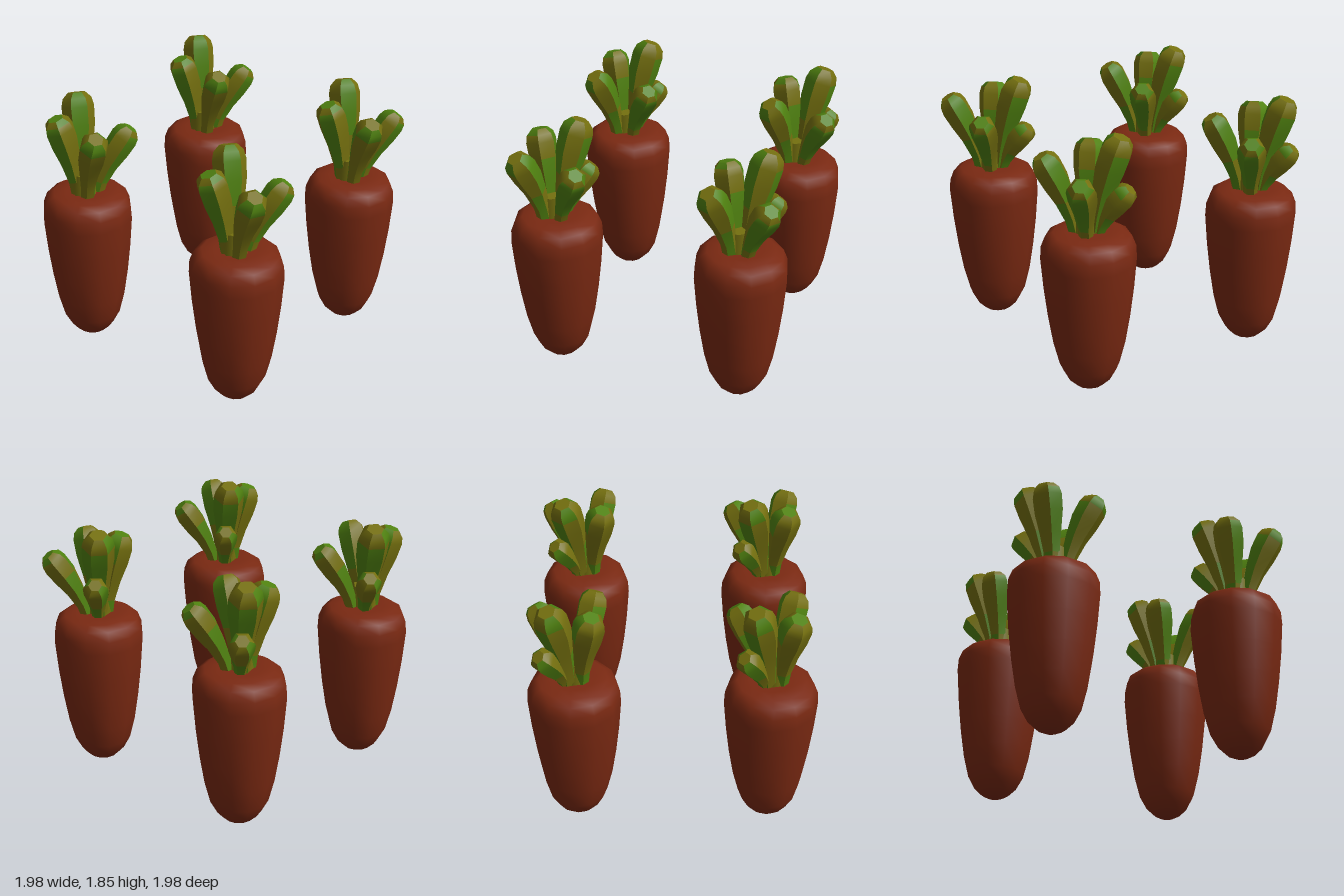
import * as THREE from 'three';

const make = (name, color) => {
  const m = new THREE.MeshStandardMaterial({ color });
  m.name = name;
  return m;
};

// A curved stalk: each long side is smooth along its length, with creases between sides.
function stalkGeometry(path, scale, seed) {
  const sides = 6;
  // [position along the path, radius]
  const rings = [[0, 0.05], [0.25, 0.055], [0.5, 0.076], [0.72, 0.1], [0.88, 0.104], [0.95, 0.092], [1, 0.055]];
  const pos = [], index = [[], []];
  const corner = (ring, s) => {
    const [t, r] = rings[ring];
    const p = path.getPoint(t), dir = path.getTangent(t);
    const out = path.getPoint(1).sub(path.getPoint(0)).setY(0).normalize();
    const side = new THREE.Vector3().crossVectors(dir, out).normalize();
    const face = new THREE.Vector3().crossVectors(side, dir).normalize();
    const a = ((s + 0.5) / sides) * Math.PI * 2;
    return p.addScaledVector(face, Math.cos(a) * r * scale)
      .addScaledVector(side, -Math.sin(a) * r * scale);
  };
  for (let s = 0; s < sides; s++) {
    const start = pos.length / 3;
    rings.forEach((_, k) => pos.push(...corner(k, s).toArray(), ...corner(k, s + 1).toArray()));
    for (let k = 0; k < rings.length - 1; k++) {
      const a = start + k * 2, b = a + 1, c = a + 2, d = a + 3;
      // patches of the two greens
      const patch = (s * 2 + Math.floor((k + seed) / 2) + seed) % 5 < 2 ? 1 : 0;
      index[patch].push(a, c, b, b, c, d);
    }
  }
  // flat cap
  const cap = pos.length / 3;
  for (let s = 0; s < sides; s++) pos.push(...corner(rings.length - 1, s).toArray());
  for (let s = 1; s < sides - 1; s++) index[seed % 2].push(cap, cap + s + 1, cap + s);

  const g = new THREE.BufferGeometry();
  g.setAttribute('position', new THREE.Float32BufferAttribute(pos, 3));
  // keep every face turned outward
  const v = i => new THREE.Vector3().fromArray(pos, i * 3);
  const [i0, i1, i2] = [cap, cap + 2, cap + 1].map(v);
  const normal = i1.sub(i0).cross(i2.sub(i0));
  if (normal.dot(path.getTangent(1)) < 0) index.forEach(list => list.reverse());
  g.setIndex([...index[0], ...index[1]]);
  g.addGroup(0, index[0].length, 0);
  g.addGroup(index[0].length, index[1].length, 1);
  g.computeVertexNormals();
  return g;
}

export function createModel() {
  const model = new THREE.Group();
  const rootColor = make('rootOrangeBrown', 0x7a2912);
  const olive = make('leafOlive', 0x75700f);
  const green = make('leafGreen', 0x508210);

  const carrot = new THREE.Group();
  carrot.name = 'carrot';

  // Root body
  const profile = [
    [0, 0], [0.05, 0.005], [0.1, 0.03], [0.155, 0.085], [0.205, 0.18], [0.245, 0.34],
    [0.277, 0.54], [0.302, 0.75], [0.32, 0.97], [0.315, 1.06], [0.288, 1.13], [0.235, 1.165], [0.15, 1.17], [0, 1.17],
  ].map(([x, y]) => new THREE.Vector2(x, y));
  const root = new THREE.Mesh(new THREE.LatheGeometry(profile, 12), rootColor);
  root.name = 'root';
  carrot.add(root);

  // Crown joining the stalks
  const crown = new THREE.Mesh(new THREE.CylinderGeometry(0.085, 0.095, 0.2, 7), olive);
  crown.name = 'crown';
  crown.position.set(0, 1.22, 0.02);
  carrot.add(crown);

  // Stalks: tip position and thickness
  const stalks = [
    ['tallStalk', [-0.175, 1.83, -0.13], 1.1],
    ['frontStalk', [-0.115, 1.745, 0.15], 1.05],
    ['rightStalk', [0.26, 1.7, 0.155], 1.0],
    ['backStalk', [0.21, 1.62, -0.255], 0.95],
    ['shortStalk', [-0.2, 1.49, -0.2], 0.85],
  ];
  stalks.forEach(([name, [x, y, z], scale], i) => {
    const path = new THREE.QuadraticBezierCurve3(
      new THREE.Vector3(x * 0.22, 1.12, z * 0.25 + 0.015),
      new THREE.Vector3(x * 0.35, 1.12 + (y - 1.12) * 0.45, z * 0.38 + 0.01),
      new THREE.Vector3(x, y, z),
    );
    const stalk = new THREE.Mesh(stalkGeometry(path, scale, i), [olive, green]);
    stalk.name = name;
    carrot.add(stalk);
  });

  // Four carrots in a square
  for (const x of [-0.675, 0.66]) {
    for (const z of [-0.67, 0.67]) {
      const copy = carrot.clone();
      copy.position.set(x, 0, z);
      model.add(copy);
    }
  }
  return model;
}
